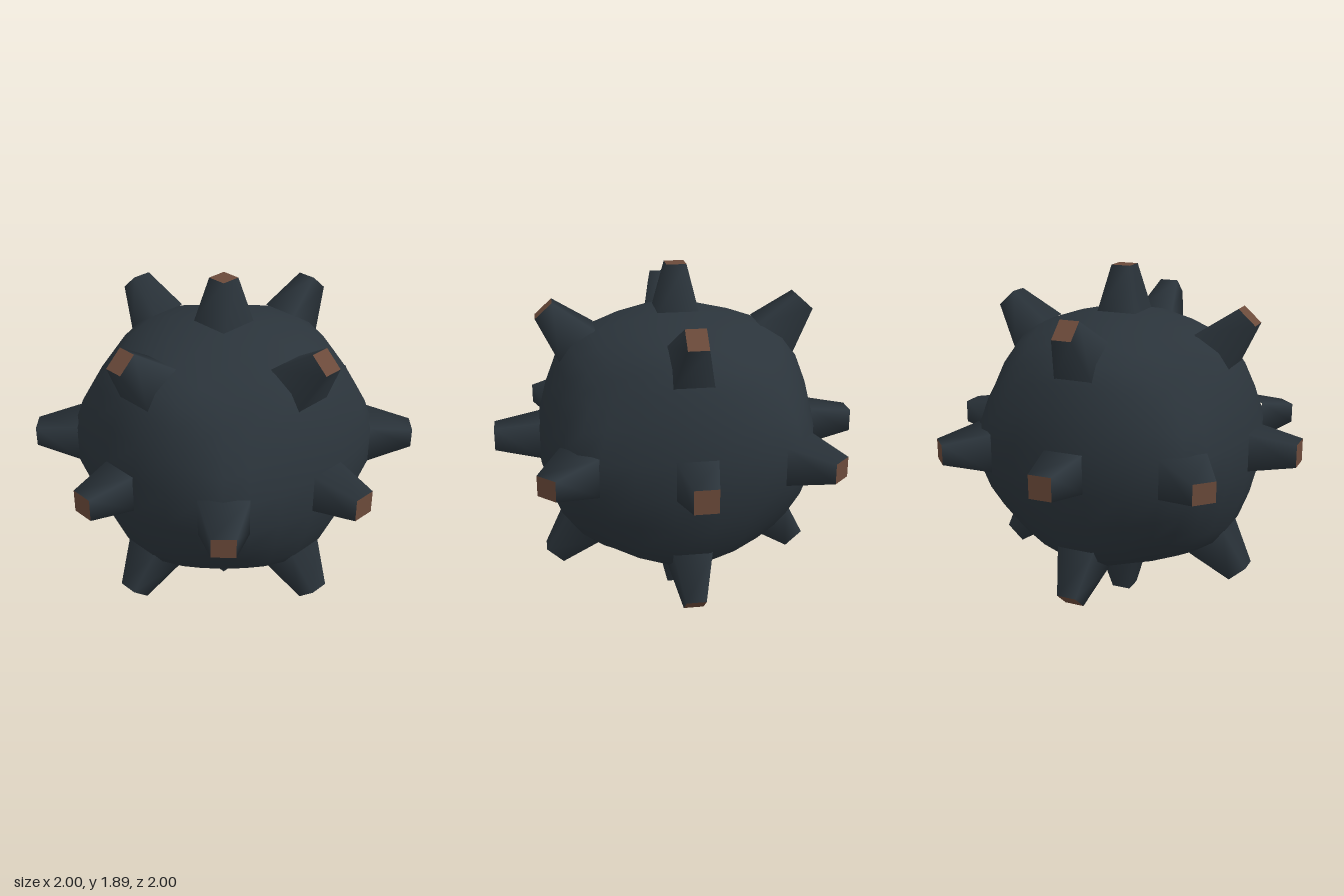
import * as THREE from 'three';
import { mergeVertices } from 'three/addons/utils/BufferGeometryUtils.js';

const iron = new THREE.MeshStandardMaterial({ color: 0x2b343b });
iron.name = 'dark iron';
const rust = new THREE.MeshStandardMaterial({ color: 0x6b4a3a });
rust.name = 'rusty brown';

const CENTRE_Y = 0.945;

// Cube swollen into a slightly flattened ball; its grid lines meet the spike bases
function bodyGeometry() {
  const box = new THREE.BoxGeometry(2, 2, 2, 7, 7, 7);
  box.deleteAttribute('uv');
  box.deleteAttribute('normal');
  const geo = mergeVertices(box, 1e-4);
  geo.clearGroups();
  const p = geo.attributes.position;
  const v = new THREE.Vector3();
  const ridge = (a, b) => Math.pow(a * b, 2.75); // swells towards the cube's edges
  for (let i = 0; i < p.count; i++) {
    v.fromBufferAttribute(p, i).normalize();
    const x = v.x * v.x, y = v.y * v.y, z = v.z * v.z;
    const r = 0.77 + 3 * ridge(x, z) + 2.4 * (ridge(x, y) + ridge(y, z));
    p.setXYZ(i, v.x * r, v.y * r * 0.93, v.z * r);
  }
  geo.computeVertexNormals();
  return geo;
}

// Tapered four-sided spike; base and tip hold [half size along side, half size across]
function spike(name, from, to, side, base, tip) {
  const axis = to.clone().sub(from);
  const length = axis.length();
  axis.normalize();
  const across = side.clone().cross(axis);

  const geo = new THREE.CylinderGeometry(tip[0] * Math.SQRT2, base[0] * Math.SQRT2, length, 4, 1, true, Math.PI / 4);
  const p = geo.attributes.position;
  for (let i = 0; i < p.count; i++) {
    const s = p.getY(i) > 0 ? tip : base;
    p.setX(i, Math.sign(p.getX(i)) * s[0]);
    p.setZ(i, Math.sign(p.getZ(i)) * s[1]);
  }
  geo.translate(0, length / 2, 0);

  const cap = new THREE.PlaneGeometry(2 * tip[0], 2 * tip[1]).rotateX(-Math.PI / 2).translate(0, length, 0);

  const group = new THREE.Group();
  group.name = name;
  const shaft = new THREE.Mesh(geo, iron);
  shaft.name = 'spikeShaft';
  const end = new THREE.Mesh(cap, rust);
  end.name = 'spikeTip';
  group.add(shaft, end);
  group.quaternion.setFromRotationMatrix(new THREE.Matrix4().makeBasis(side, axis, across));
  group.position.copy(from);
  return group;
}

export function createModel() {
  const V = (x, y, z) => new THREE.Vector3(x, y, z);
  const X = V(1, 0, 0), Y = V(0, 1, 0), Z = V(0, 0, 1);
  const model = new THREE.Group();
  model.name = 'spikedBall';

  const body = new THREE.Mesh(bodyGeometry(), iron);
  body.name = 'body';
  body.position.y = CENTRE_Y;
  model.add(body);

  const ball = new THREE.Group();
  ball.name = 'spikes';
  ball.position.y = CENTRE_Y;
  model.add(ball);

  const lift = 0.015; // spikes around the middle sit a touch high
  for (const s of [1, -1]) {
    // straight spikes
    ball.add(
      spike('sideSpike', V(0.745 * s, lift, 0), V(s, lift + 0.003, 0), Y, [0.103, 0.107], [0.062, 0.062]),
      spike('frontBackSpike', V(0, lift, 0.745 * s), V(0, lift + 0.003, s), Y, [0.103, 0.107], [0.062, 0.062]),
      spike('topBottomSpike', V(0, 0.69 * s, 0), V(0, 0.944 * s, 0), X, [0.113, 0.113], [0.053, 0.053])
    );
    // diagonal spikes
    for (const t of [1, -1]) {
      ball.add(
        spike('levelDiagonalSpike', V(0.562 * s, lift, 0.567 * t), V(0.735 * s, lift, 0.74 * t), Y, [0.104, 0.13], [0.054, 0.062]),
        spike('sideDiagonalSpike', V(0.534 * s, 0.532 * t, 0), V(0.703 * s, 0.72 * t, 0), Z, [0.105, 0.128], [0.053, 0.062]),
        spike('frontBackDiagonalSpike', V(0, 0.532 * t, 0.534 * s), V(0, 0.72 * t, 0.703 * s), X, [0.105, 0.128], [0.053, 0.062])
      );
    }
  }
  return model;
}
